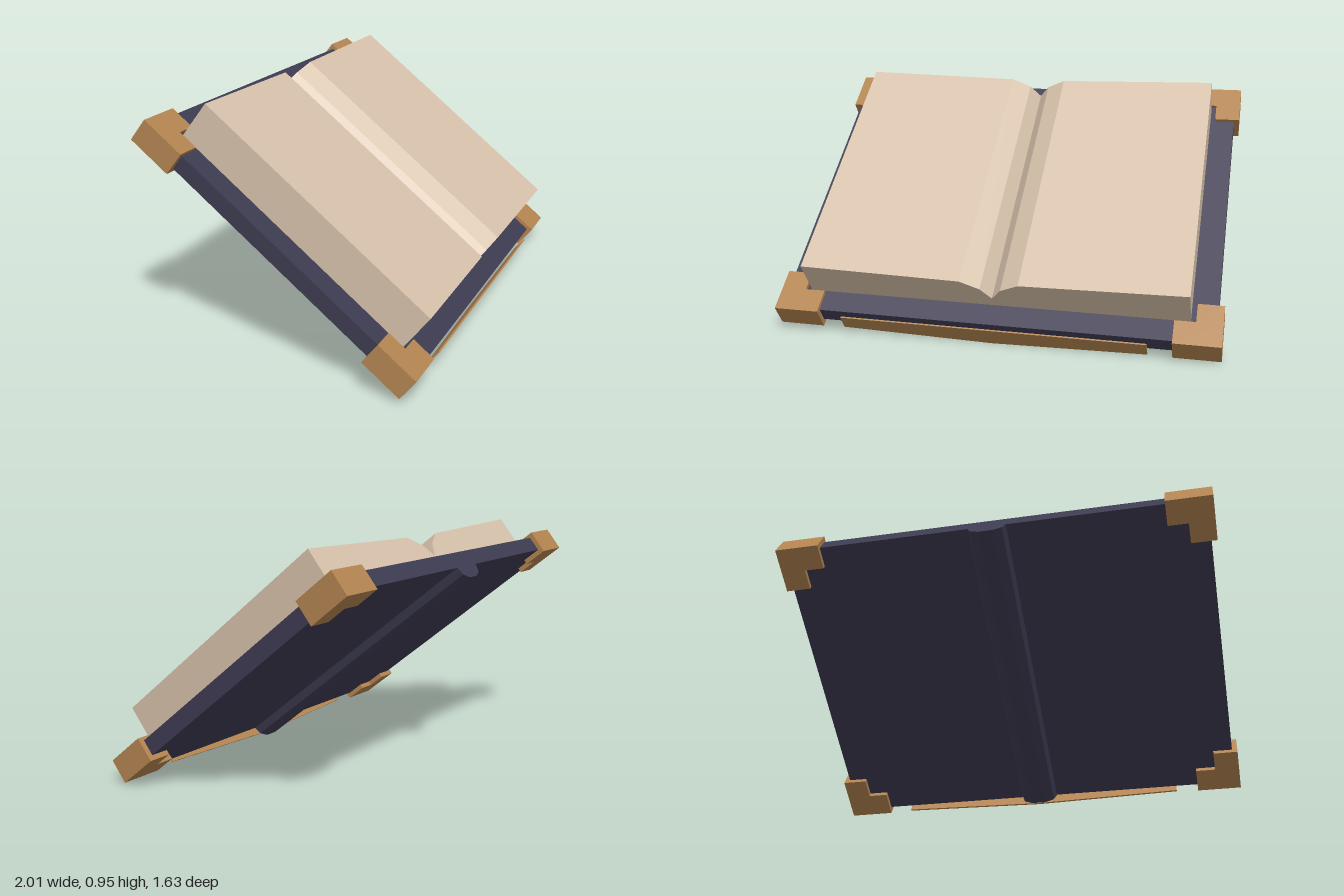
import * as THREE from 'three';

const mat = (name, color) => {
  const m = new THREE.MeshStandardMaterial({ color });
  m.name = name;
  return m;
};

// Flat profile in the x/y plane, extruded along z and centred on it
function prism(points, length) {
  const shape = new THREE.Shape(points.map(([x, y]) => new THREE.Vector2(x, y)));
  const g = new THREE.ExtrudeGeometry(shape, { depth: length, bevelEnabled: false });
  return g.translate(0, 0, -length / 2);
}

export function createModel() {
  const paper = mat('paper', 0xd6c1aa);
  const leather = mat('navy leather', 0x3d3b51);
  const bronze = mat('bronze', 0xb38450);

  const book = new THREE.Group();
  book.name = 'openBook';
  const add = (name, geometry, material, x = 0, y = 0, z = 0) => {
    const mesh = new THREE.Mesh(geometry, material);
    mesh.name = name;
    mesh.position.set(x, y, z);
    book.add(mesh);
    return mesh;
  };

  // Cover board
  add('cover', new THREE.BoxGeometry(1.7, 0.065, 1.27), leather, 0, 0.0525, 0);

  // Faceted spine bulging under the cover
  const spineHalf = [[0.08, 0.03], [0.065, -0.012], [0.03, -0.03]];
  const spineMirror = spineHalf.map(([x, y]) => [-x, y]).reverse();
  add('spine', prism([...spineHalf, ...spineMirror], 1.272), leather);

  // Page block with a curved gutter
  const pageHalf = [[0.752, 0.085], [0.752, 0.246], [0.114, 0.228], [0.04, 0.186]];
  const pageMirror = pageHalf.map(([x, y]) => [-x, y]).reverse();
  add('pages', prism([...pageHalf, [0, 0.13], ...pageMirror], 1.09), paper);

  // L-shaped corner guards
  const arm = 0.18, width = 0.1, height = 0.1;
  for (const sx of [-1, 1]) {
    for (const sz of [-1, 1]) {
      const corner = new THREE.Group();
      corner.name = 'cornerGuard';
      const along = new THREE.Mesh(new THREE.BoxGeometry(arm, height, width), bronze);
      along.name = 'guardLongArm';
      along.position.set(-sx * arm / 2, height / 2, -sz * width / 2);
      const across = new THREE.Mesh(new THREE.BoxGeometry(width, height, arm - width), bronze);
      across.name = 'guardShortArm';
      across.position.set(-sx * width / 2, height / 2, -sz * (arm + width) / 2);
      corner.add(along, across);
      corner.position.set(sx * 0.872, 0, sz * 0.654);
      book.add(corner);
    }
  }

  // Thin bronze lip along the front edge
  const lip = [[-0.6, 0.012], [0, -0.01], [0.6, 0.012], [0.6, 0.078], [-0.6, 0.078]];
  add('frontLip', prism(lip, 0.006), bronze, 0, 0, 0.655);

  // Reading tilt and turn
  book.rotation.set(THREE.MathUtils.degToRad(38), THREE.MathUtils.degToRad(20), -0.01, 'YXZ');
  book.position.set(-0.015, 0.417, -0.03);

  const model = new THREE.Group();
  model.name = 'tiltedBook';
  model.add(book);
  return model;
}
